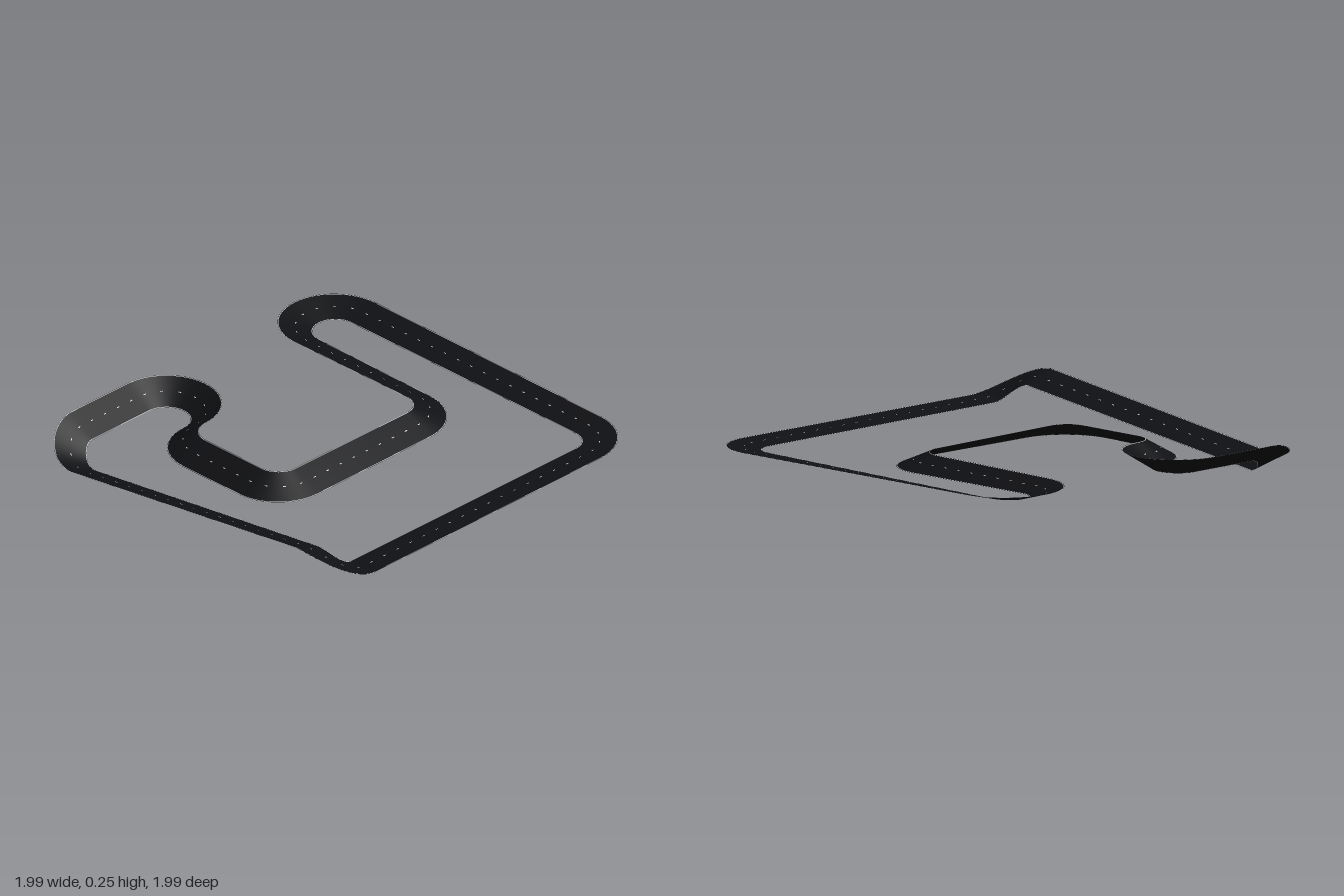
import * as THREE from 'three';

const RADIUS = 0.1825;
const HALF = 0.084; // half the full road width, edge lines included

// Square corners in driving order: x, z, height in/out, bank in/out (left edge minus right edge)
const corners = [
  [-0.916, 0.909, 0.118, 0.22, 0.012, 0.06],
  [-0.916, -0.917, 0.028, 0.118, 0.056, 0.092],
  [-0.183, -0.917, 0.118, 0.118, 0.092, 0.09],
  [-0.183, -0.552, 0.118, 0.118, 0.09, 0.087],
  [-0.549, -0.552, 0.118, 0.118, 0.087, 0.083],
  [-0.549, 0.173, 0.118, 0.118, 0.08, 0.077],
  [0.546, 0.173, 0.118, 0.118, 0.068, 0.062],
  [0.546, -0.917, 0.118, 0.118, 0.052, 0.046],
  [0.912, -0.917, 0.118, 0.118, 0.046, 0.04],
  [0.912, 0.909, 0.118, 0.118, 0.022, 0.018],
];

// Centre line samples: position p, sideways vector to the left edge
function buildPath() {
  const path = [];
  const flat = c => new THREE.Vector2(c[0], c[1]);
  const add = (x, z, tx, tz, y, bank) => {
    const p = new THREE.Vector3(x, y, z);
    if (path.length && path[path.length - 1].p.distanceTo(p) < 0.006) return;
    const rise = bank / 2, run = Math.sqrt(HALF * HALF - rise * rise);
    path.push({ p, left: new THREE.Vector3(tz * run, rise, -tx * run) });
  };
  corners.forEach((c, i) => {
    const n = corners.length, here = flat(c);
    const next = corners[(i + 1) % n];
    const dIn = here.clone().sub(flat(corners[(i + n - 1) % n])).normalize();
    const dOut = flat(next).sub(here).normalize();
    const centre = here.clone().addScaledVector(dIn, -RADIUS).addScaledVector(dOut, RADIUS);
    // Rounded corner
    for (let k = 0; k <= 14; k++) {
      const t = k / 14, a = t * Math.PI / 2, s = t * t * (3 - 2 * t);
      const sin = Math.sin(a), cos = Math.cos(a);
      add(centre.x + RADIUS * (dIn.x * sin - dOut.x * cos), centre.y + RADIUS * (dIn.y * sin - dOut.y * cos),
        dIn.x * cos + dOut.x * sin, dIn.y * cos + dOut.y * sin,
        THREE.MathUtils.lerp(c[2], c[3], s), THREE.MathUtils.lerp(c[4], c[5], s));
    }
    // Straight to the next corner
    const length = flat(next).distanceTo(here) - 2 * RADIUS;
    if (length < 0.02) return;
    for (let k = 1; k < 12; k++) {
      const t = k / 12, d = RADIUS + t * length;
      add(here.x + dOut.x * d, here.y + dOut.y * d, dOut.x, dOut.y,
        THREE.MathUtils.lerp(c[3], next[2], t), THREE.MathUtils.lerp(c[5], next[4], t));
    }
  });
  return path;
}

// Strip between two sideways positions (1 = left edge, -1 = right edge)
function ribbon(rows, from, to, closed) {
  const pos = [], index = [];
  rows.forEach(({ p, left }) => {
    for (const s of [from, to]) pos.push(...p.clone().addScaledVector(left, s).toArray());
  });
  const n = rows.length;
  for (let i = 0; i < (closed ? n : n - 1); i++) {
    const a = 2 * i, b = 2 * ((i + 1) % n);
    index.push(a, a + 1, b + 1, a, b + 1, b);
  }
  const g = new THREE.BufferGeometry();
  g.setAttribute('position', new THREE.Float32BufferAttribute(pos, 3));
  g.setIndex(index);
  g.computeVertexNormals();
  return g;
}

export function createModel() {
  const group = new THREE.Group();
  group.name = 'raceTrack';
  const asphalt = new THREE.MeshStandardMaterial({ color: 0x101114, side: THREE.DoubleSide });
  const paint = new THREE.MeshStandardMaterial({ color: 0xcccccc, side: THREE.DoubleSide });
  const add = (name, geometry, material, parent = group) => {
    const mesh = new THREE.Mesh(geometry, material);
    mesh.name = name;
    parent.add(mesh);
  };
  const path = buildPath();

  // Road surface with a thin painted line just inside each edge
  add('roadSurface', ribbon(path, 0.95, -0.95, true), asphalt);
  add('leftEdgeLine', ribbon(path, 0.98, 0.95, true), paint);
  add('rightEdgeLine', ribbon(path, -0.95, -0.98, true), paint);
  add('leftVerge', ribbon(path, 1, 0.98, true), asphalt);
  add('rightVerge', ribbon(path, -0.98, -1, true), asphalt);

  // Centre dashes, evenly spaced along the road and lifted off it
  const dashes = new THREE.Group();
  dashes.name = 'centreDashes';
  group.add(dashes);
  const lengths = [0];
  path.forEach(({ p }, i) => lengths.push(lengths[i] + p.distanceTo(path[(i + 1) % path.length].p)));
  const total = lengths[path.length];
  const at = d => {
    let i = 0;
    while (i < path.length - 1 && lengths[i + 1] < d) i++;
    const a = path[i], b = path[(i + 1) % path.length];
    const t = (d - lengths[i]) / (lengths[i + 1] - lengths[i]);
    const p = a.p.clone().lerp(b.p, t), left = a.left.clone().lerp(b.left, t);
    const up = left.clone().cross(b.p.clone().sub(a.p)).normalize();
    return { p: p.addScaledVector(up.y < 0 ? up.negate() : up, 0.0015), left };
  };
  const count = Math.round(total / 0.085);
  for (let i = 0; i < count; i++) {
    const d = (i + 0.3) * total / count;
    add('dash', ribbon([at(d), at(d + 0.014)], 0.028, -0.028, false), paint, dashes);
  }
  return group;
}
